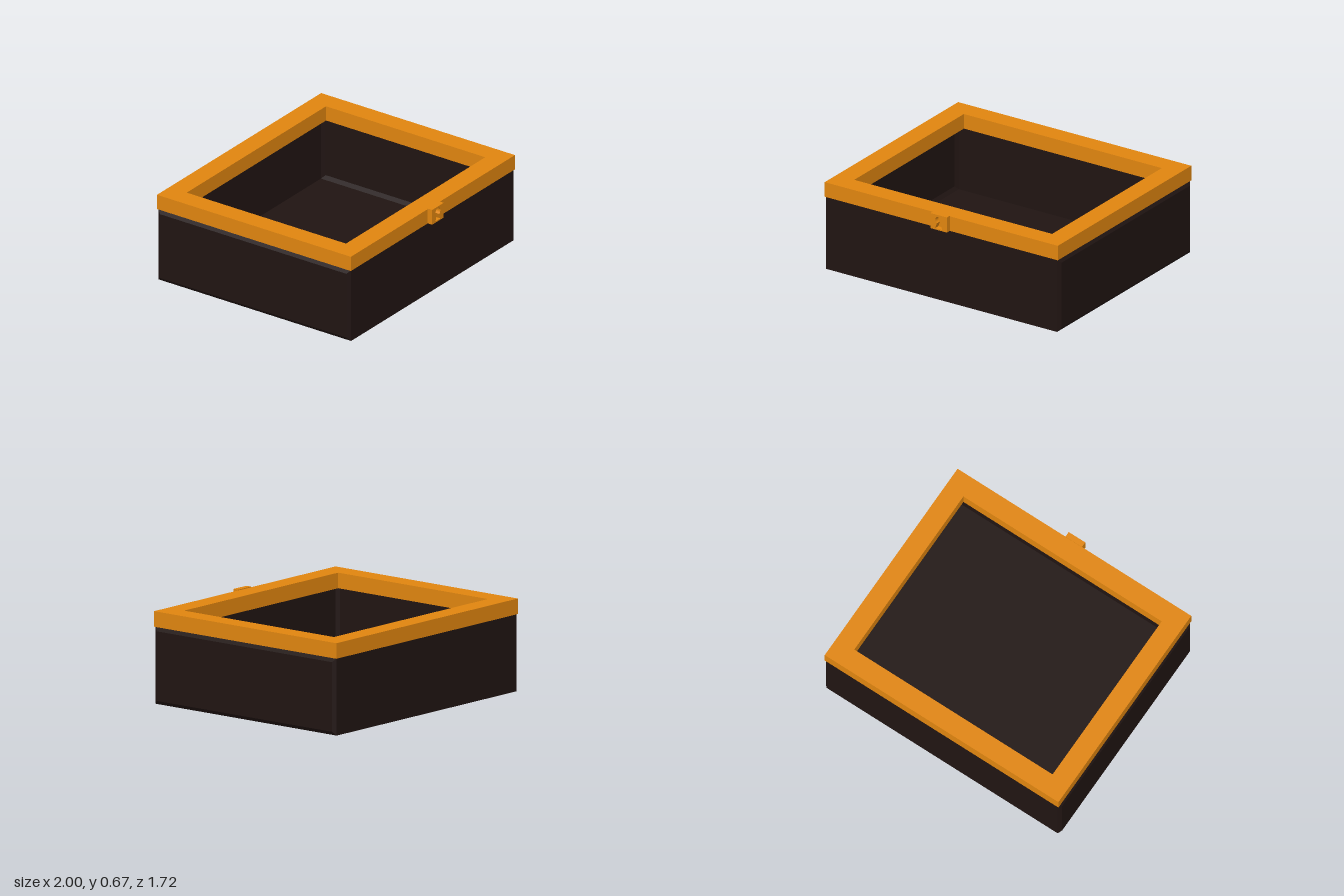
import * as THREE from 'three';

const DARK = new THREE.MeshStandardMaterial({ color: 0x201412, side: THREE.DoubleSide, flatShading: true });
const GOLD = new THREE.MeshStandardMaterial({ color: 0xe0850f, flatShading: true });

const BACK = -0.855, FRONT = 0.815, TOP = 0.555;

function addMesh(group, name, geometry, material) {
  const mesh = new THREE.Mesh(geometry, material);
  mesh.name = name;
  group.add(mesh);
  return mesh;
}

// Rectangle traced as a Shape or as a hole Path
function rect(path, x0, y0, x1, y1) {
  path.moveTo(x0, y0);
  path.lineTo(x1, y0);
  path.lineTo(x1, y1);
  path.lineTo(x0, y1);
  path.closePath();
  return path;
}

// Thin open-topped shell, lofted along x with chamfered ends
function shellGeometry() {
  const section = (x, inset) => [
    [x, inset, FRONT - inset],
    [x, inset, BACK + inset],
    [x, TOP - inset, BACK + inset],
    [x, TOP - inset, FRONT - inset],
  ];
  const rings = [section(-1, 0.027), section(-0.98, 0), section(0.98, 0), section(1, 0.027)];
  const positions = [];
  const quad = (a, b, c, d) => positions.push(...a, ...b, ...c, ...a, ...c, ...d);
  for (let r = 0; r < 3; r++) {
    for (let i = 0; i < 4; i++) {
      if (r === 1 && i === 2) continue; // open top
      const j = (i + 1) % 4;
      quad(rings[r][i], rings[r][j], rings[r + 1][j], rings[r + 1][i]);
    }
  }
  const [l, , , e] = rings;
  quad(l[0], l[3], l[2], l[1]);
  quad(e[0], e[1], e[2], e[3]);
  const geometry = new THREE.BufferGeometry();
  geometry.setAttribute('position', new THREE.Float32BufferAttribute(positions, 3));
  geometry.computeVertexNormals();
  return geometry;
}

// Rectangular frame around the opening, extruded upwards
function rimGeometry() {
  const shape = rect(new THREE.Shape(), -0.99, -0.82, 0.99, 0.86);
  shape.holes.push(rect(new THREE.Path(), -0.84, -0.67, 0.84, 0.71));
  const geometry = new THREE.ExtrudeGeometry(shape, { depth: 0.112, bevelEnabled: false });
  return geometry.rotateX(-Math.PI / 2).translate(0, TOP, 0);
}

// Lock plate pierced by a keyhole: round head above a flared slot
function lockGeometry() {
  const shape = rect(new THREE.Shape(), -0.07, 0.557, 0.07, 0.673);
  const hole = new THREE.Path();
  const waist = Math.PI / 3.2;
  hole.moveTo(-0.03, 0.567);
  hole.lineTo(0.03, 0.567);
  hole.absarc(0, 0.632, 0.029, -Math.PI / 2 + waist / 1.8, Math.PI * 1.5 - waist / 1.8, false);
  hole.closePath();
  shape.holes.push(hole);
  return new THREE.ExtrudeGeometry(shape, { depth: 0.042, bevelEnabled: false, curveSegments: 12 })
    .translate(0.005, 0, 0.818);
}

export function createModel() {
  const model = new THREE.Group();
  model.name = 'openBox';
  addMesh(model, 'boxShell', shellGeometry(), DARK);
  addMesh(model, 'rim', rimGeometry(), GOLD);
  addMesh(model, 'lockPlate', lockGeometry(), GOLD);
  return model;
}
